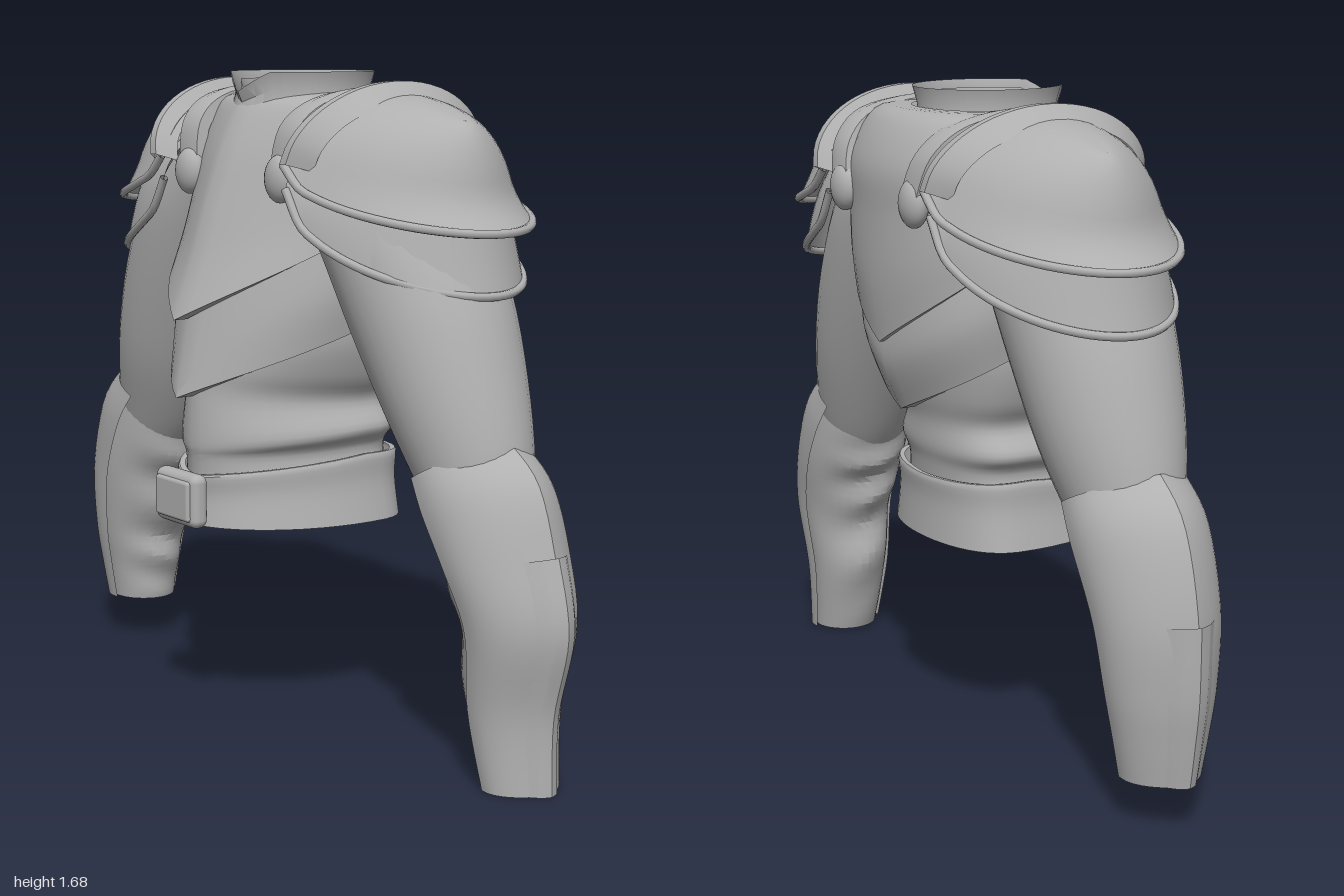
import * as THREE from 'three';
import { toCreasedNormals } from 'three/addons/utils/BufferGeometryUtils.js';
import { RoundedBoxGeometry } from 'three/addons/geometries/RoundedBoxGeometry.js';

const steel = new THREE.MeshStandardMaterial({ color: 0xb0b0b0, side: THREE.DoubleSide });
steel.name = 'plain grey';
const V = (x, y, z) => new THREE.Vector3(x, y, z);
const PI = Math.PI;

function add(parent, name, geometry, x = 0, y = 0, z = 0) {
  const m = new THREE.Mesh(geometry, steel);
  m.name = name;
  m.position.set(x, y, z);
  parent.add(m);
  return m;
}

// Smoothly interpolated copies of a short list of cross-section stations
function resample(st, n) {
  const out = [];
  for (let i = 0; i <= n; i++) {
    const t = (i / n) * (st.length - 1), k = Math.min(Math.floor(t), st.length - 2), f = t - k;
    const a = st[Math.max(k - 1, 0)], b = st[k], c = st[k + 1], d = st[Math.min(k + 2, st.length - 1)];
    out.push(b.map((_, j) => {
      const cubic = 3 * (b[j] - c[j]) + d[j] - a[j];
      const square = 2 * a[j] - 5 * b[j] + 4 * c[j] - d[j];
      return b[j] + 0.5 * f * (c[j] - a[j] + f * (square + f * cubic));
    }));
  }
  return out;
}

// Skin over rows of points
function skin(rows, crease = 0.6) {
  const n = rows[0].length, pos = [], idx = [];
  rows.forEach(r => r.forEach(p => pos.push(p.x, p.y, p.z)));
  for (let i = 0; i < rows.length - 1; i++) {
    for (let j = 0; j < n - 1; j++) {
      const a = i * n + j, b = a + n;
      idx.push(a, b, a + 1, a + 1, b, b + 1);
    }
  }
  const g = new THREE.BufferGeometry();
  g.setAttribute('position', new THREE.Float32BufferAttribute(pos, 3));
  g.setIndex(idx);
  return toCreasedNormals(g, crease);
}

const row = (n, f) => Array.from({ length: n + 1 }, (_, i) => f(i / n));
const tube = (pts, r, n) => new THREE.TubeGeometry(new THREE.CatmullRomCurve3(pts), n, r, 8);

// Band laid over the shoulder: profile points are [sideways, outwards]
function band(path, profile) {
  return skin(resample(path, 30).map(([x, y, z]) => {
    const a = Math.atan2(y - 1.35, z + 0.08);
    return profile.map(([u, o]) => V(x + u, y + o * Math.sin(a), z + o * Math.cos(a)));
  }));
}

// Body ring: [y, half width, front z, back z, front dip, back dip], keel = pointedness of the front
function bodyRing([y, w, zf, zb, df, db], keel) {
  return row(48, t => {
    const a = (t - 0.5) * 2 * PI, front = Math.cos(a) >= 0;
    const c = Math.abs(Math.cos(a)), lin = Math.abs(1 - Math.abs(a) / (PI / 2));
    const k = front ? c * (1 - keel) + lin * keel : Math.pow(c, 0.65);
    return V(w * Math.sin(a), y - lin * (front ? df : db), -0.06 + k * (front ? zf + 0.06 : zb + 0.06));
  });
}
const rings = (st, keel) => skin(st.map(s => bodyRing(s, keel)));
const shell = (st, n, keel) => rings(resample(st, n), keel);

// Limb rings: [x, y, half thickness, half depth, tilt in degrees], keel = pointedness of the outside
function limb(st, n, side, { arc = PI, grow = 0, ridge = 0, folds = 0, keel = 0 } = {}) {
  return skin(resample(st, n).map(([x, y, r, rz, tilt], i) => row(32, t => {
    const a = (t * 2 - 1) * arc, k = tilt * PI / 180, c = Math.cos(a);
    const fold = folds * Math.sin(i * 0.9 + Math.sin(a) * 1.5) * Math.max(0, -c) * Math.sin(PI * i / n);
    const round = c > 0 ? c * (1 - keel) + keel * (1 - Math.abs(a) / (PI / 2)) : c;
    const d = round * (r + grow + fold) + ridge * Math.min(1, Math.max(0, 2 - Math.abs(a) / 0.22));
    return V(side * (x + d * Math.cos(k)), y + d * Math.sin(k), -0.04 + Math.sin(a) * (rz + grow));
  })), 0.45);
}

// Domed shoulder plate between a ridge line and a rim sweeping front, outside and back
function shoulderPlate(parent, name, top, rim, flare) {
  const at = (t, v) => {
    const a = t * PI, s = Math.max(0, Math.sin(a)), T = top(s), R = rim(s, Math.cos(a));
    const o = Math.sin(v * PI / 2), c = Math.cos(v * PI / 2), f = flare * Math.max(0, (v - 0.75) / 0.25) ** 2;
    return V(T.x + (R.x - T.x) * o + f * s, R.y + (T.y - R.y) * c, T.z + (R.z - T.z) * o + f * 0.3 * Math.cos(a));
  };
  add(parent, name, skin(row(14, v => row(40, t => at(t, v))), 0.7));
  add(parent, name + 'Rim', tube(row(24, t => at(t, 1)), 0.011, 48));
}

function createTorso() {
  const g = new THREE.Group();
  g.name = 'torso';
  g.position.x = -0.04;
  const upperHem = [1.33, 0.335, 0.365, -0.36, 0.27, 0.28];
  add(g, 'breastAndBackPlate', shell([
    [1.63, 0.17, 0.13, -0.23, 0.01, 0], [1.615, 0.29, 0.16, -0.31, 0.03, 0], [1.5, 0.35, 0.21, -0.37, 0.01, 0],
    [1.42, 0.34, 0.255, -0.375, 0.05, 0.05], [1.37, 0.335, 0.31, -0.375, 0.17, 0.17], upperHem,
  ], 25, 0.5));
  add(g, 'breastPlateEdge', rings([upperHem, [1.33, 0.31, 0.325, -0.325, 0.27, 0.28]], 0.5));
  const lowerHem = [1.06, 0.3, 0.36, -0.3, 0.2, 0.19];
  add(g, 'lowerPlate', shell([
    [1.36, 0.31, 0.31, -0.34, 0.25, 0.25], [1.2, 0.325, 0.335, -0.345, 0.22, 0.21], lowerHem,
  ], 10, 0.4));
  add(g, 'lowerPlateEdge', rings([lowerHem, [1.06, 0.26, 0.31, -0.26, 0.2, 0.19]], 0.4));
  // Padded waist with creases
  add(g, 'waist', shell([
    [1.14, 0.28, 0.29, -0.28, 0, 0], [1.02, 0.285, 0.29, -0.265, 0.03, 0], [0.91, 0.255, 0.305, -0.25, -0.03, 0],
    [0.84, 0.22, 0.31, -0.235, -0.03, 0], [0.77, 0.255, 0.315, -0.235, 0.03, 0], [0.72, 0.22, 0.31, -0.225, 0.02, 0],
    [0.64, 0.235, 0.305, -0.22, 0, 0], [0.56, 0.25, 0.31, -0.225, 0, 0],
  ], 32, 0.12));
  // Belt and buckle
  add(g, 'belt', shell([
    [0.705, 0.24, 0.305, -0.235, 0.05, 0.01], [0.7, 0.257, 0.325, -0.25, 0.05, 0.01],
    [0.63, 0.257, 0.32, -0.245, 0.03, 0], [0.53, 0.274, 0.33, -0.25, 0, 0],
  ], 12, 0.08));
  add(g, 'buckle', new RoundedBoxGeometry(0.185, 0.14, 0.05, 3, 0.022), -0.005, 0.6, 0.342);
  add(g, 'bucklePlate', new RoundedBoxGeometry(0.15, 0.105, 0.02, 3, 0.009), -0.005, 0.6, 0.366);
  // Collar with a notched front
  const collar = (grow, y0, y1) => {
    const levels = [[y0, 0.175, 0.03], [(y0 + y1) / 2, 0.162, 0.03], [y1, 0.175, 0.05]];
    return skin(levels.map(([y, r, dip]) => row(48, t => {
      const a = (t - 0.5) * 2 * PI, notch = Math.max(0, 1 - Math.abs(a) / 0.5);
      return V((r + grow) * Math.sin(a), y - notch * dip, -0.045 + Math.cos(a) * (r + grow + 0.018) + notch * 0.015);
    })));
  };
  add(g, 'collar', collar(0, 1.585, 1.68));
  add(g, 'collarLining', collar(-0.025, 1.57, 1.66));
  add(g, 'innerNeck', new THREE.SphereGeometry(0.075, 24, 8, 0, 2 * PI, 0, PI / 2), 0.04, 1.53, -0.07);
  return g;
}

function createShoulder() {
  const g = new THREE.Group();
  shoulderPlate(g, 'upperShoulderPlate', s => V(0.27 + 0.33 * s, 1.635 - 0.065 * s * s, -0.075),
    (s, c) => V(0.27 + 0.41 * s, 1.46 - 0.15 * Math.sqrt(s), -0.075 + 0.28 * c), 0.06);
  shoulderPlate(g, 'lowerShoulderPlate', s => V(0.27 + 0.27 * s, 1.54, -0.07),
    (s, c) => V(0.27 + 0.43 * s, 1.4 - 0.24 * Math.sqrt(s), -0.07 + 0.28 * c), 0.02);
  // Raised rib across the plate
  const rib = row(12, t => {
    const s = Math.sin(t * PI);
    return [0.29 + 0.06 * s, 1.45 + 0.175 * s, -0.075 + 0.28 * Math.cos(t * PI)];
  });
  add(g, 'shoulderRib', band(rib, [[-0.05, -0.015], [-0.015, 0.035], [0.01, 0.035], [0.06, -0.015]]));
  // Strap over the shoulder with rounded buckles front and back
  add(g, 'shoulderStrap', band([[0.2, 1.42, 0.175], [0.215, 1.54, 0.155], [0.235, 1.605, 0.07], [0.245, 1.625, -0.08],
    [0.24, 1.6, -0.25], [0.215, 1.53, -0.335], [0.185, 1.43, -0.36]],
  [[-0.045, -0.02], [-0.04, 0.012], [0, 0.018], [0.04, 0.012], [0.045, -0.02]]));
  for (const [name, x, z] of [['frontStrapBuckle', 0.2, 0.18], ['backStrapBuckle', 0.185, -0.355]]) {
    const b = add(g, name, new THREE.SphereGeometry(0.055, 20, 14), x, 1.42, z);
    b.scale.set(0.95, 1.1, 0.6);
  }
  return g;
}

function createArm(name, side, upper, fore, guard) {
  const g = new THREE.Group();
  g.name = name;
  add(g, 'upperArm', limb(upper, 20, side));
  add(g, 'forearmSleeve', limb(fore, 30, side, { grow: -0.01, folds: 0.014, keel: 0.5 }));
  add(g, 'elbowAndForearmGuard', limb(guard, 24, side, { arc: 1.75, grow: 0.004, keel: 0.5 }));
  add(g, 'forearmRidge', limb(guard.slice(2), 18, side, { arc: 0.44, grow: 0.004, ridge: 0.012, keel: 0.5 }));
  return g;
}

export function createModel() {
  const model = new THREE.Group();
  model.name = 'armouredTorso';
  model.add(createTorso());

  for (const side of [1, -1]) {
    const s = createShoulder();
    s.name = side > 0 ? 'leftShoulder' : 'rightShoulder';
    s.position.x = -0.035;
    s.scale.x = side;
    model.add(s);
  }

  // The right arm is bent a little higher than the left
  model.add(createArm('leftArm', 1,
    [[0.24, 1.42, 0.17, 0.2, 35], [0.37, 1.3, 0.2, 0.215, 30], [0.49, 1.1, 0.2, 0.205, 25], [0.59, 0.9, 0.175, 0.18, 27], [0.67, 0.72, 0.145, 0.14, 27], [0.7, 0.62, 0.11, 0.11, 24]],
    [[0.65, 0.76, 0.13, 0.13, 27], [0.7, 0.65, 0.15, 0.145, 24], [0.76, 0.53, 0.155, 0.15, 14], [0.815, 0.38, 0.16, 0.135, 4], [0.8, 0.19, 0.13, 0.115, 0], [0.83, 0, 0.1, 0.1, 0]],
    [[0.63, 0.745, 0.165, 0.155, 28], [0.69, 0.665, 0.2, 0.165, 22], [0.76, 0.54, 0.18, 0.16, 12], [0.815, 0.39, 0.16, 0.14, 3], [0.8, 0.19, 0.13, 0.118, 0], [0.83, 0, 0.1, 0.1, 0]]));
  model.add(createArm('rightArm', -1,
    [[0.31, 1.42, 0.17, 0.2, 35], [0.42, 1.3, 0.2, 0.215, 30], [0.53, 1.1, 0.2, 0.205, 25], [0.62, 0.9, 0.18, 0.18, 25], [0.69, 0.74, 0.15, 0.14, 25], [0.73, 0.63, 0.11, 0.11, 22]],
    [[0.67, 0.79, 0.135, 0.13, 26], [0.73, 0.67, 0.155, 0.145, 22], [0.8, 0.52, 0.165, 0.15, 10], [0.835, 0.34, 0.145, 0.135, 2], [0.84, 0.22, 0.125, 0.115, 0], [0.84, 0.12, 0.11, 0.1, 0]],
    [[0.67, 0.77, 0.165, 0.155, 26], [0.735, 0.68, 0.195, 0.165, 18], [0.81, 0.51, 0.172, 0.155, 4], [0.835, 0.34, 0.145, 0.138, 2], [0.84, 0.22, 0.125, 0.118, 0], [0.84, 0.12, 0.11, 0.1, 0]]));
  return model;
}
